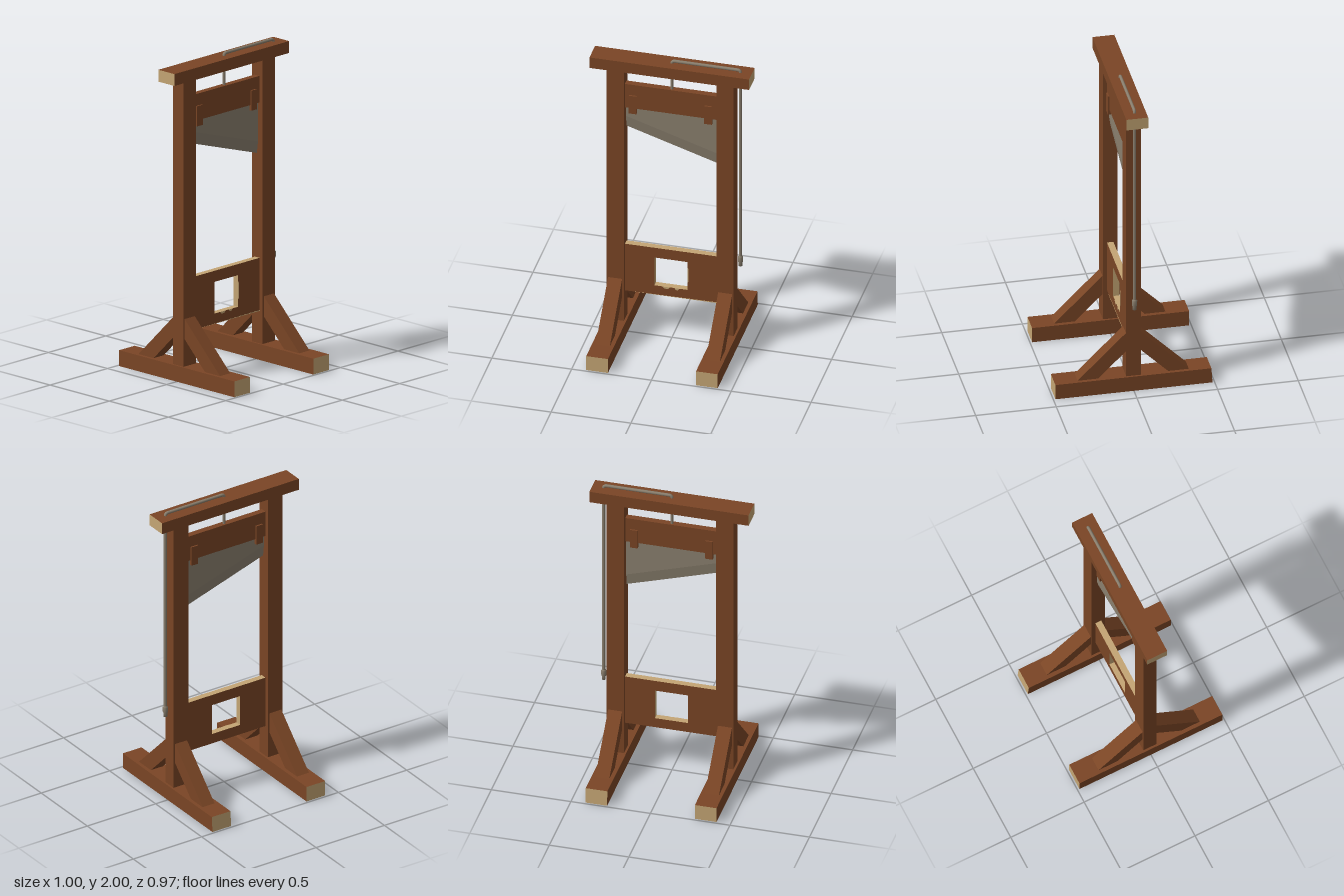
import * as THREE from 'three';

const mat = (name, color) => {
  const m = new THREE.MeshStandardMaterial({ color });
  m.name = name;
  return m;
};

export function createModel() {
  const root = new THREE.Group();
  root.name = 'guillotine';
  const wood = mat('brown wood', 0x7a4525);
  const grain = mat('pale end grain', 0xc4a574);
  const steel = mat('grey steel and rope', 0x8a7f6e);

  const add = (name, geometry, material) => {
    const m = new THREE.Mesh(geometry, material);
    m.name = name;
    root.add(m);
    return m;
  };
  // Box from its limits on each axis
  const box = (name, [x0, x1], [y0, y1], [z0, z1], material) => {
    const g = new THREE.BoxGeometry(x1 - x0, y1 - y0, z1 - z0);
    g.translate((x0 + x1) / 2, (y0 + y1) / 2, (z0 + z1) / 2);
    return add(name, g, material);
  };
  const shape = (pts) => new THREE.Shape(pts.map(([x, y]) => new THREE.Vector2(x, y)));

  // Top beam with end grain on both ends
  box('topBeam', [-0.5, 0.5], [1.9, 1.975], [-0.07, 0.066], [grain, grain, wood, wood, wood, wood]);

  // Feet, posts and diagonal braces on both sides
  for (const s of [-1, 1]) {
    const side = s > 0 ? 'left' : 'right';
    const span = (a, b) => (s > 0 ? [a, b] : [-b, -a]);
    const foot = box(side + 'Foot', span(0.276, 0.412), [0, 0.1], [-0.487, 0.487],
      [wood, wood, wood, wood, grain, grain]);
    if (s > 0) { // this foot's back end is sawn slightly askew
      const p = foot.geometry.attributes.position;
      for (let i = 0; i < p.count; i++) {
        if (p.getZ(i) < 0 && p.getY(i) > 0.05) p.setZ(i, -0.48);
      }
      foot.geometry.computeVertexNormals();
    }
    box(side + 'Post', span(0.29, 0.398), [0.1, 1.9], [-0.045, 0.045], wood);

    const braceShape = shape([[0.345, 0.1], [0.045, 0.4], [0.045, 0.272], [0.217, 0.1]]);
    for (const f of [-1, 1]) {
      const g = new THREE.ExtrudeGeometry(braceShape, { depth: 0.088, bevelEnabled: false });
      g.translate(0, 0, -0.044);
      g.rotateY(-f * Math.PI / 2);
      g.translate(s * 0.345, 0, 0);
      add(side + (f > 0 ? 'FrontBrace' : 'BackBrace'), g, wood);
    }
  }

  // Lower board with a square opening and pale cut edges
  const board = shape([[-0.292, 0.305], [0.292, 0.305], [0.292, 0.64], [-0.292, 0.64]]);
  board.holes.push(shape([[-0.105, 0.37], [-0.105, 0.57], [0.102, 0.57], [0.102, 0.37]]));
  const boardGeo = new THREE.ExtrudeGeometry(board, { depth: 0.04, bevelEnabled: false });
  boardGeo.translate(0, 0, -0.02);
  add('neckBoard', boardGeo, [wood, grain]);

  // Chipped edges that show pale wood
  const chip = (name, pts) => {
    const g = new THREE.ExtrudeGeometry(shape(pts), { depth: 0.002, bevelEnabled: false });
    g.translate(0, 0, 0.0195);
    add(name, g, grain);
  };
  for (const [a, b] of [[-0.055, -0.01], [0.02, 0.052]]) {
    chip('bottomChip', [[a, 0.37], [a + 0.01, 0.358], [b - 0.01, 0.356], [b, 0.37]]);
  }
  chip('sideChip', [[0.102, 0.42], [0.109, 0.43], [0.109, 0.52], [0.102, 0.53]]);
  chip('lowerEdgeChip', [[-0.24, 0.305], [0.29, 0.305], [0.29, 0.31]]);

  // Blade carrier with its brackets on both faces
  box('bladeCarrier', [-0.29, 0.288], [1.622, 1.79], [-0.02, 0.02], wood);
  for (const x of [-0.24, 0.233]) {
    box('bladeBracket', [x - 0.024, x + 0.024], [1.588, 1.715], [-0.03, 0.03], wood);
  }

  // Slanted blade, tapering to its cutting edge
  let blade = new THREE.BoxGeometry(2, 2, 2, 1, 2, 1);
  const p = blade.attributes.position;
  for (let i = 0; i < p.count; i++) {
    const x = p.getX(i), y = p.getY(i), z = p.getZ(i);
    const edge = x < 0 ? 1.48 : 1.3;
    p.setXYZ(i, x * 0.285, y > 0.5 ? 1.63 : y < -0.5 ? edge : edge + 0.075, z * (y < -0.5 ? 0.001 : 0.011));
  }
  blade = blade.toNonIndexed();
  blade.computeVertexNormals();
  add('blade', blade, steel);

  // Rope from the carrier, over the beam and down the side
  const v = (x, y) => new THREE.Vector3(x, y, 0);
  const path = new THREE.CurvePath();
  path.add(new THREE.LineCurve3(v(0, 1.78), v(0, 1.972)));
  path.add(new THREE.QuadraticBezierCurve3(v(0, 1.972), v(0, 1.99), v(0.018, 1.99)));
  path.add(new THREE.LineCurve3(v(0.018, 1.99), v(0.411, 1.99)));
  path.add(new THREE.QuadraticBezierCurve3(v(0.411, 1.99), v(0.429, 1.99), v(0.429, 1.972)));
  path.add(new THREE.LineCurve3(v(0.429, 1.972), v(0.429, 0.6)));
  add('rope', new THREE.TubeGeometry(path, 300, 0.01, 8), steel);

  // Knot and tail at the rope's end
  const profile = [[0, 0.585], [0.012, 0.585], [0.012, 0.608], [0.016, 0.615], [0.017, 0.648], [0.01, 0.656]];
  const knot = new THREE.LatheGeometry(profile.map(([r, y]) => new THREE.Vector2(r, y)), 8);
  knot.translate(0.429, 0, 0);
  add('ropeKnot', knot, steel);

  return root;
}
